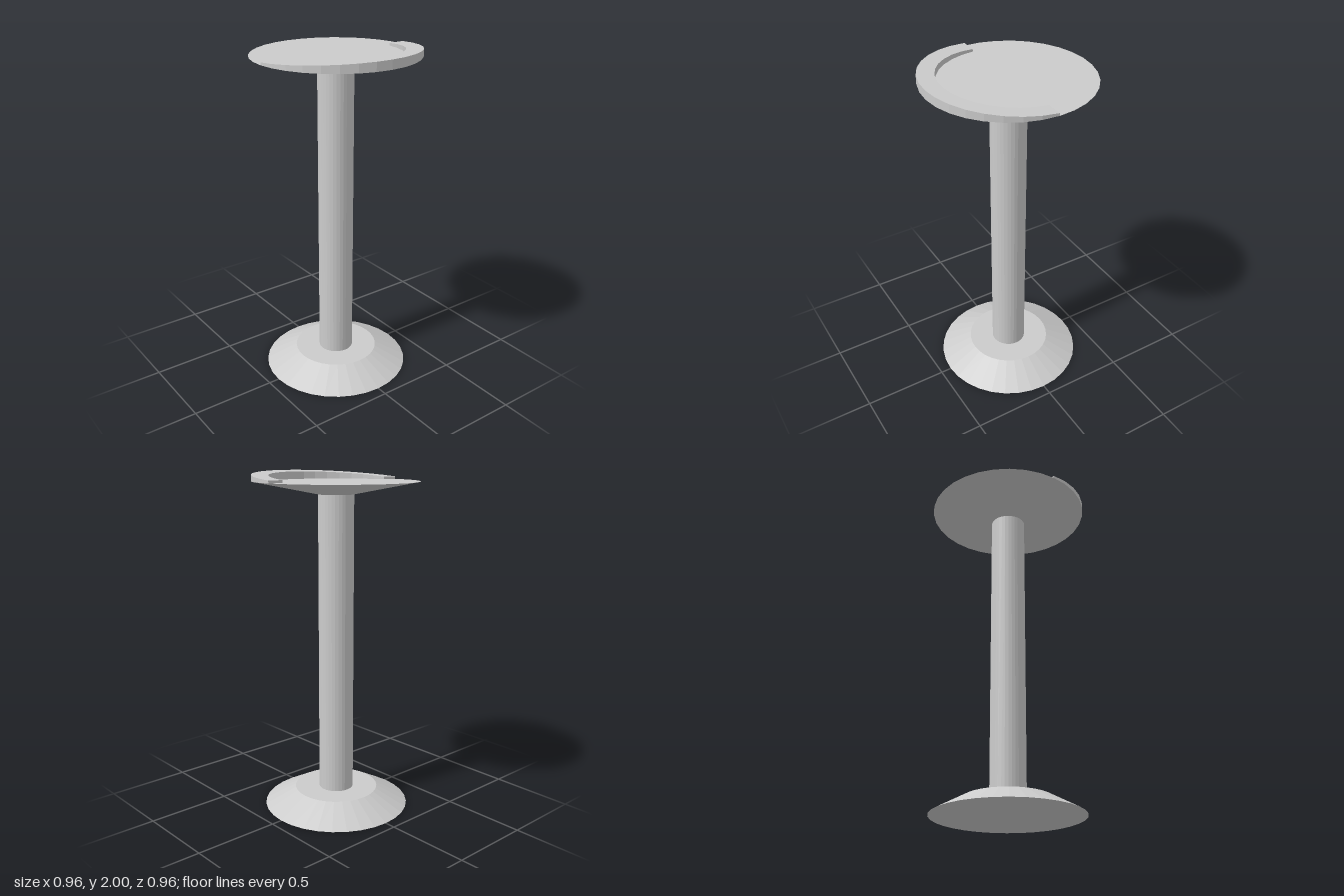
import * as THREE from 'three';

const SIDES = 32;
const SEAT_R = 0.478, SEAT_Y = 1.948;

export function createModel() {
  const model = new THREE.Group();
  const material = new THREE.MeshStandardMaterial({ color: 0xcccccc, flatShading: true });

  const add = (name, geometry) => {
    const mesh = new THREE.Mesh(geometry, material);
    mesh.name = name;
    model.add(mesh);
  };

  // Round part standing between two heights
  const addRound = (name, topR, bottomR, y0, y1) => {
    const geometry = new THREE.CylinderGeometry(topR, bottomR, y1 - y0, SIDES);
    add(name, geometry.translate(0, (y0 + y1) / 2, 0));
  };

  addRound('base', 0.25, 0.435, 0, 0.1);
  addRound('column', 0.103, 0.103, 0.1, 1.875);
  addRound('seat', SEAT_R, 0.103, 1.875, SEAT_Y);

  // Half-ring lip on the left half of the seat
  const shape = new THREE.Shape();
  shape.absarc(0, 0, SEAT_R, -Math.PI / 2, Math.PI / 2, false);
  shape.absarc(0, 0, 0.382, Math.PI / 2, -Math.PI / 2, true);
  const lip = new THREE.ExtrudeGeometry(shape, {
    depth: 1, bevelEnabled: false, curveSegments: SIDES / 4,
  });
  lip.rotateX(-Math.PI / 2);

  // The lip's top slopes up evenly toward +x
  const p = lip.attributes.position;
  for (let i = 0; i < p.count; i++) {
    const top = 1.963 + (2 - 1.963) * p.getX(i) / SEAT_R;
    p.setY(i, p.getY(i) > 0.5 ? top : SEAT_Y);
  }
  lip.computeVertexNormals();
  add('seatLip', lip);

  return model;
}
